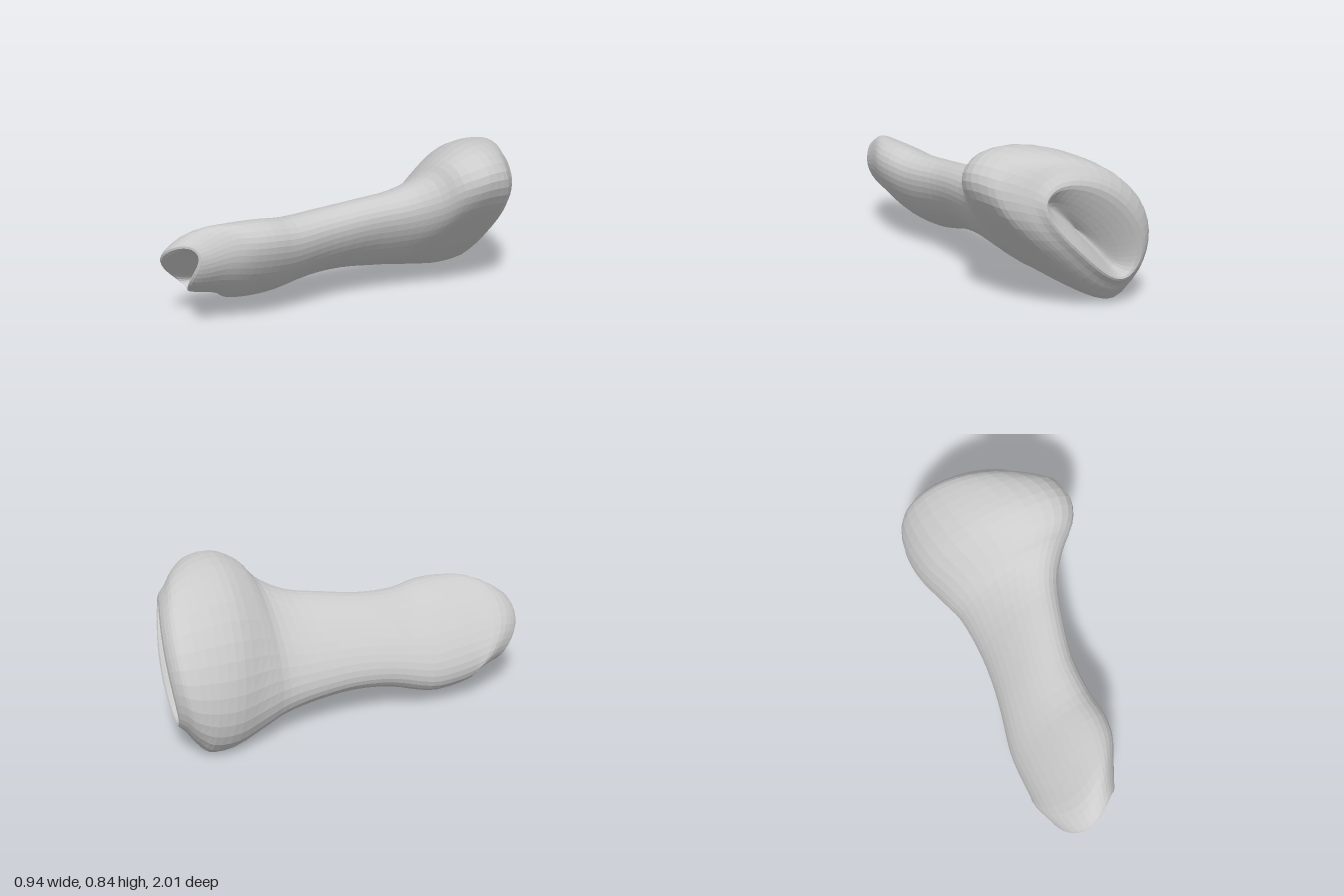
import * as THREE from 'three';

const { smoothstep, clamp } = THREE.MathUtils;
const SEGMENTS = 36, STEPS = 3, DIAGONAL = Math.SQRT1_2;

// Oval cross-sections along the bone: z, centre x, centre y, long radius, short radius
const BODY = [
  // front knuckle
  [0.92, -0.26, 0.33, 0.225, 0.113],
  [0.83, -0.245, 0.345, 0.275, 0.14],
  [0.7, -0.22, 0.335, 0.3, 0.15],
  [0.55, -0.2, 0.32, 0.312, 0.155],
  [0.4, -0.19, 0.31, 0.298, 0.15],
  // shaft
  [0.2, -0.15, 0.34, 0.27, 0.14],
  [0, -0.095, 0.36, 0.28, 0.14],
  [-0.2, -0.04, 0.365, 0.315, 0.155],
  // rear head
  [-0.35, 0.005, 0.39, 0.38, 0.18],
  [-0.45, 0.02, 0.435, 0.46, 0.21],
  [-0.6, 0.005, 0.465, 0.52, 0.245],
  [-0.75, -0.002, 0.465, 0.505, 0.26],
  [-0.87, -0.01, 0.465, 0.45, 0.24],
  [-0.92, -0.01, 0.46, 0.38, 0.205],
];

// Rolls an end section over a rounded lip and down into a narrow hollow
function hollow([z, x, y, long, short], lip, depth, shiftX, shiftY) {
  const out = Math.sign(z);
  const ring = (longScale, shortScale, rise, shift) =>
    [z + out * rise, x + shiftX * shift, y + shiftY * shift, long * longScale, short * shortScale];
  return [
    ring(0.88, 0.74, lip, 0.4),
    ring(0.78, 0.42, -0.15 * depth, 0.8),
    ring(0.6, 0.16, -0.6 * depth, 1),
    ring(0.005, 0.01, -depth, 1),
  ];
}

const socket = hollow(BODY[0], 0.033, 0.19, -0.025, -0.025);
const groove = hollow(BODY[BODY.length - 1], 0.025, 0.13, 0.05, -0.04);
const SECTIONS = [...socket.reverse(), ...BODY, ...groove];

// Smooth blend between neighbouring sections
function sectionAt(t) {
  const last = SECTIONS.length - 1;
  const i = Math.min(Math.floor(t), last - 1), f = t - i;
  const at = (n) => SECTIONS[clamp(n, 0, last)];
  return at(i).map((p1, k) => {
    const p0 = at(i - 1)[k], p2 = at(i + 1)[k], p3 = at(i + 2)[k];
    return p1 + 0.5 * f * (p2 - p0 + f * (2 * p0 - 5 * p1 + 4 * p2 - p3 + f * (3 * (p1 - p2) + p3 - p0)));
  });
}

function boneGeometry() {
  const positions = [], indices = [];
  const rings = (SECTIONS.length - 1) * STEPS;
  const rounded = (n) => Math.sign(n) * Math.abs(n) ** 0.92;

  for (let i = 0; i <= rings; i++) {
    const [z, x, y, long, short] = sectionAt(i / STEPS);
    const front = smoothstep(z, 0.6, 0.95), rear = smoothstep(-z, 0.7, 0.95);
    // Sections lean along and across the oval, both ends are domed, and the head bends like a kidney
    const lean = 0.2 * (front + smoothstep(-z, 0.1, 0.6));
    const tip = 0.5 * front - 0.25 * rear;
    const dome = 0.4 * rear - 2 * front;
    const bend = 0.33 * smoothstep(-z, 0.2, 0.6);
    for (let j = 0; j < SEGMENTS; j++) {
      const angle = (j / SEGMENTS) * Math.PI * 2;
      const u = long * rounded(Math.cos(angle));
      const across = short * rounded(Math.sin(angle));
      const v = across - bend * u * u;
      positions.push(
        x + (u - v) * DIAGONAL,
        y + (u + v) * DIAGONAL,
        z + u * lean + across * tip + dome * u * u,
      );
    }
  }
  for (let i = 0; i < rings; i++) {
    for (let j = 0; j < SEGMENTS; j++) {
      const a = i * SEGMENTS + j, b = a + SEGMENTS;
      const d = i * SEGMENTS + (j + 1) % SEGMENTS, c = d + SEGMENTS;
      indices.push(a, b, c, a, c, d);
    }
  }
  const geometry = new THREE.BufferGeometry();
  geometry.setAttribute('position', new THREE.Float32BufferAttribute(positions, 3));
  geometry.setIndex(indices);
  geometry.computeVertexNormals();
  return geometry;
}

export function createModel() {
  const group = new THREE.Group();
  group.name = 'bone';
  const material = new THREE.MeshStandardMaterial({ color: 0xcccccc, flatShading: true });
  const bone = new THREE.Mesh(boneGeometry(), material);
  bone.name = 'boneShaftAndEnds';
  group.add(bone);
  return group;
}
